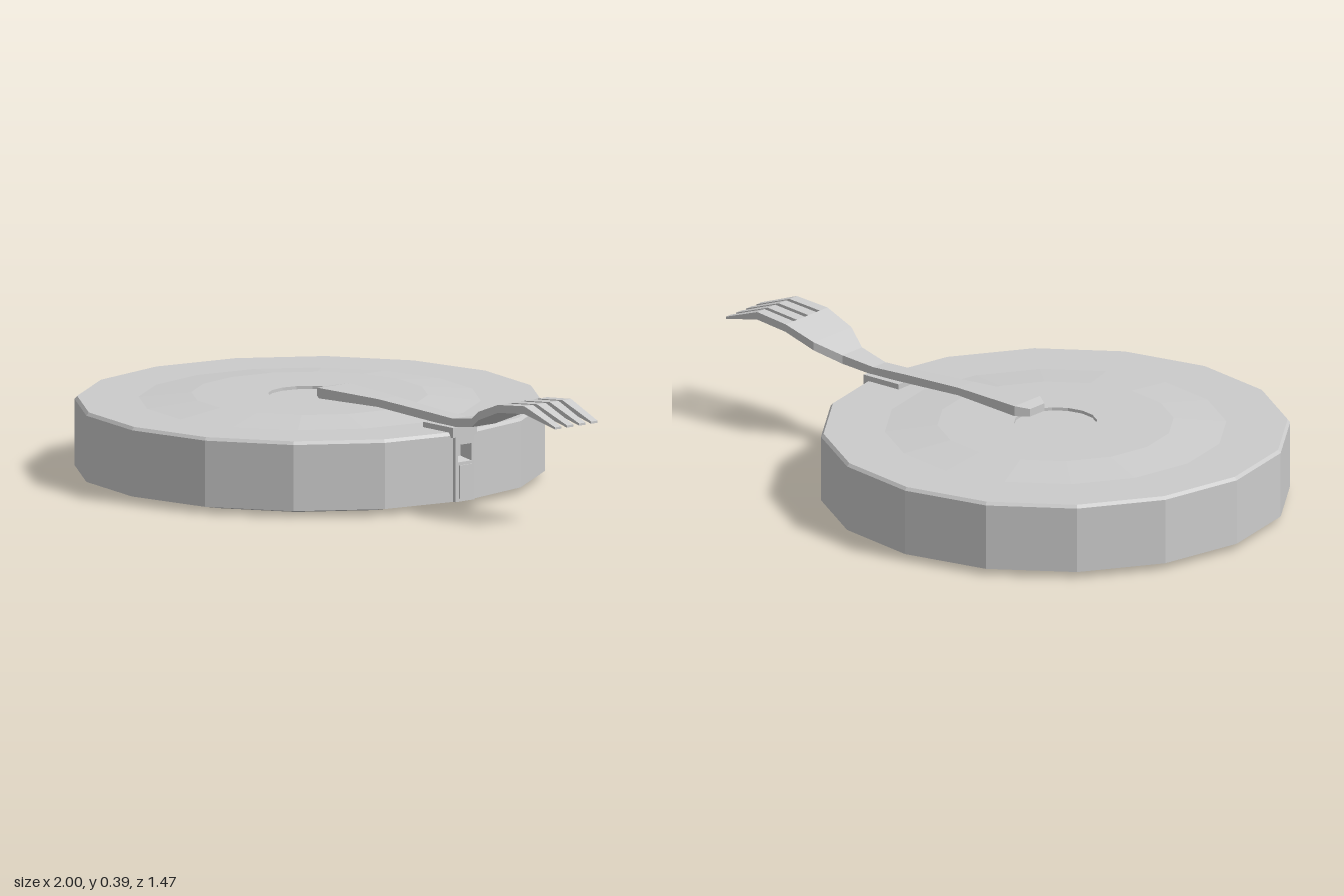
import * as THREE from 'three';

const CX = -0.265, R = 0.735, SIDES = 16;
const mat = new THREE.MeshStandardMaterial({ color: 0xcccccc, flatShading: true, side: THREE.DoubleSide });

export function createModel() {
  const model = new THREE.Group();
  const add = (name, geo, x = 0, y = 0, z = 0, parent = model) => {
    const m = new THREE.Mesh(geo, mat);
    m.name = name;
    m.position.set(x, y, z);
    parent.add(m);
    return m;
  };
  const box = (name, x0, x1, y0, y1, w) =>
    add(name, new THREE.BoxGeometry(x1 - x0, y1 - y0, w), (x0 + x1) / 2, (y0 + y1) / 2, 0);
  const rect = (w, y0, y1, C) => new C().setFromPoints(
    [[-w, y0], [w, y0], [w, y1], [-w, y1]].map(p => new THREE.Vector2(...p)));

  // Sixteen-sided slab with a rectangular slot underneath and an optional rim notch
  const slab = (r, h, notch) => {
    const pts = [];
    for (let i = 0; i < SIDES; i++) {
      const a = i / SIDES * Math.PI * 2;
      if (i === 0 && notch) {
        const rim = r - 0.04 * Math.tan(Math.PI / SIDES);
        [[rim, -0.04], [0.65, -0.04], [0.65, 0.04], [rim, 0.04]]
          .forEach(p => pts.push(new THREE.Vector2(...p)));
      } else pts.push(new THREE.Vector2(Math.cos(a) * r, Math.sin(a) * r));
    }
    const s = new THREE.Shape(pts);
    s.holes.push(rect(0.14, -0.36, 0.36, THREE.Path));
    return new THREE.ExtrudeGeometry(s, { depth: h, bevelEnabled: false }).rotateX(-Math.PI / 2);
  };

  // Round body
  add('bodyBase', slab(0.64, 0.02, false), CX);
  add('bodyChamfer', new THREE.CylinderGeometry(R, 0.64, 0.02, SIDES, 1, true), CX, 0.01);
  add('bodyWall', slab(R, 0.21, true), CX, 0.02);
  const lid = [[R, 0.23], [0.727, 0.24], [0.535, 0.24], [0.37, 0.257], [0.13, 0.257], [0.13, 0.247], [0, 0.247]];
  add('lid', new THREE.LatheGeometry(lid.map(p => new THREE.Vector2(...p)), SIDES), CX);

  // Roller lying in the underside slot
  add('roller', new THREE.CylinderGeometry(0.1, 0.1, 0.68, 10).rotateX(Math.PI / 2), CX, 0.13);

  // Socket plate let into the rim, with a tapering square hole
  const plate = rect(0.04, 0.02, 0.235, THREE.Shape);
  plate.holes.push(rect(0.028, 0.145, 0.2, THREE.Path));
  add('socketPlate', new THREE.ExtrudeGeometry(plate, { depth: 0.07, bevelEnabled: false })
    .rotateY(Math.PI / 2), 0.402);
  add('socketFunnel', new THREE.CylinderGeometry(0.028 * Math.SQRT2, 0.017 * Math.SQRT2, 0.04, 4, 1, true)
    .rotateY(Math.PI / 4).rotateZ(-Math.PI / 2), 0.451, 0.1725);
  box('socketBack', 0.42, 0.431, 0.147, 0.198, 0.05);
  box('rimTab', 0.465, 0.476, 0.03, 0.135, 0.05);
  box('forkRest', 0.33, 0.472, 0.225, 0.257, 0.1);

  // Lofted bar from rectangular sections [x, bottom, top, zMin, zMax]
  const loft = rows => {
    const pos = rows.flatMap(([x, b, t, z0, z1]) => [x, b, z0, x, b, z1, x, t, z1, x, t, z0]);
    const idx = [0, 1, 2, 0, 2, 3], e = (rows.length - 1) * 4;
    for (let i = 0; i < e; i += 4) {
      for (let k = 0; k < 4; k++) {
        const a = i + k, b = i + (k + 1) % 4;
        idx.push(a, a + 4, b, b, a + 4, b + 4);
      }
    }
    idx.push(e, e + 2, e + 1, e, e + 3, e + 2);
    const g = new THREE.BufferGeometry();
    g.setAttribute('position', new THREE.Float32BufferAttribute(pos, 3));
    g.setIndex(idx);
    const flat = g.toNonIndexed();
    flat.computeVertexNormals();
    return flat;
  };

  // Fork: handle and bowl in one bar, then four tines
  const fork = new THREE.Group();
  fork.name = 'fork';
  model.add(fork);
  const handle = [
    [-0.19, 0.265, 0.29, 0.035], [-0.15, 0.265, 0.298, 0.062], [0.1, 0.27, 0.295, 0.037],
    [0.33, 0.258, 0.285, 0.028], [0.45, 0.255, 0.281, 0.03], [0.56, 0.272, 0.3, 0.048],
    [0.64, 0.31, 0.337, 0.092], [0.745, 0.35, 0.375, 0.102],
  ];
  add('forkHandle', loft(handle.map(([x, b, t, w]) => [x, b, t, -w, w])), 0, 0, 0, fork);
  const tine = [[0.745, 0.35, 0.375, 0.019], [0.865, 0.362, 0.387, 0.018], [1, 0.331, 0.338, 0.013]];
  for (const c of [-0.083, -0.028, 0.028, 0.083]) {
    add('forkTine', loft(tine.map(([x, b, t, w], i) => {
      const z = c * (1 - i * 0.05);
      return [x, b, t, z - w, z + w];
    })), 0, 0, 0, fork);
  }
  return model;
}
